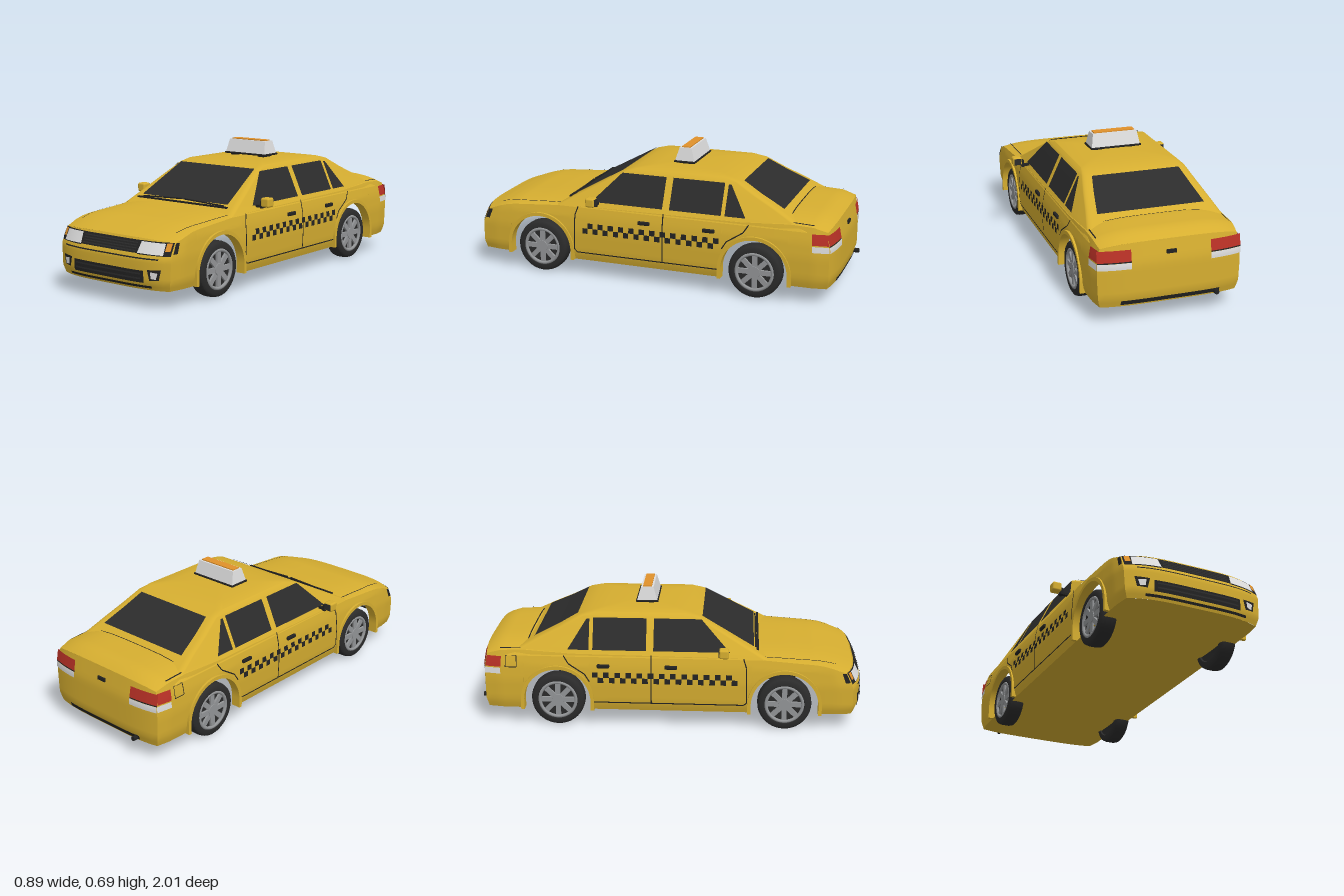
import * as THREE from 'three';
import { toCreasedNormals, mergeGeometries } from 'three/addons/utils/BufferGeometryUtils.js';
import { RoundedBoxGeometry } from 'three/addons/geometries/RoundedBoxGeometry.js';

const V = (x, y, z) => new THREE.Vector3(x, y, z);
const lerp = THREE.MathUtils.lerp, clamp = THREE.MathUtils.clamp;

// Piecewise-linear curve through [position, value] pairs in ascending order
const curve = (pts) => (t) => {
  let i = 0;
  while (i < pts.length - 2 && t > pts[i + 1][0]) i++;
  const [a, b] = [pts[i], pts[i + 1]];
  return lerp(a[1], b[1], clamp((t - a[0]) / (b[0] - a[0]), 0, 1));
};

// Surface through rows of points
function grid(rows, crease = 0.55) {
  const pos = [], idx = [], n = rows[0].length;
  rows.forEach((r) => r.forEach((p) => pos.push(p.x, p.y, p.z)));
  for (let i = 0; i < rows.length - 1; i++) for (let j = 0; j < n - 1; j++) {
    const a = i * n + j, b = a + n;
    idx.push(a, b, b + 1, a, b + 1, a + 1);
  }
  const g = new THREE.BufferGeometry();
  g.setAttribute('position', new THREE.Float32BufferAttribute(pos, 3));
  g.setIndex(idx);
  return toCreasedNormals(g, crease);
}

// Four-cornered plate laid on a surface given by map(u, v)
function patch(q, map, nu = 6, nv = 3) {
  const rows = [];
  for (let i = 0; i <= nu; i++) {
    const row = [], a = i / nu;
    for (let j = 0; j <= nv; j++) {
      const b = j / nv;
      const c = (k) => lerp(lerp(q[0][k], q[1][k], a), lerp(q[3][k], q[2][k], a), b);
      row.push(map(c(0), c(1)));
    }
    rows.push(row);
  }
  return grid(rows, 1);
}
const rect = (a, b, c, d) => [[a, c], [b, c], [b, d], [a, d]];

// Thin seam along a polyline on a surface
function seam(pts, map, w = 0.005) {
  return mergeGeometries(pts.slice(1).map((p, i) => {
    const o = pts[i], dx = p[0] - o[0], dy = p[1] - o[1], l = Math.hypot(dx, dy);
    const nx = -dy / l * w / 2, ny = dx / l * w / 2;
    return patch([[o[0] - nx, o[1] - ny], [p[0] - nx, p[1] - ny], [p[0] + nx, p[1] + ny], [o[0] + nx, o[1] + ny]], map, 8, 1);
  }));
}

// Body curves: half width, section fullness, centre height, shoulder height
const W = curve([[-0.985, 0.362], [-0.9, 0.375], [-0.7, 0.379], [0.75, 0.379], [0.9, 0.376], [1, 0.364]]);
const K = curve([[0.09, 0.95], [0.13, 0.985], [0.25, 1], [0.33, 0.985], [0.4, 0.945], [0.45, 0.9]]);
const T = curve([[-0.985, 0.405], [-0.95, 0.428], [-0.9, 0.44], [-0.75, 0.445], [-0.5, 0.41], [0.4, 0.408], [0.6, 0.4], [0.75, 0.388], [0.9, 0.36], [1, 0.33]]);
const S = curve([[-0.985, 0.385], [-0.9, 0.405], [-0.75, 0.41], [-0.5, 0.395], [0.4, 0.387], [0.75, 0.362], [0.9, 0.342], [1, 0.318]]);
const BOTTOM = 0.09, ARCH = 0.175, AXLE_Y = 0.14, AXLES = [-0.58, 0.6];

// Rounds the nose and tail in plan and leans them back
function shaped(x, y, z) {
  const r = Math.abs(x / 0.37) ** 4;
  if (z > 0) return V(x, y, z - clamp((z - 0.8) / 0.2, 0, 1) * (0.055 * r + Math.max(0, y - 0.24) * 0.5 + Math.max(0, 0.13 - y) * 0.4));
  return V(x, y, z + clamp((-z - 0.8) / 0.185, 0, 1) * (0.03 * r + Math.max(0, y - 0.3) * 0.2 + Math.max(0, 0.14 - y) * 0.3));
}
const topY = (x, z) => S(z) + (T(z) - S(z)) * (1 - Math.min(1, Math.abs(x / (W(z) * K(S(z))))) ** 4);
const frontMap = (d) => (x, y) => shaped(x, y, 1).add(V(0, 0, d));
const rearMap = (d) => (x, y) => shaped(x, y, -0.985).add(V(0, 0, -d));
const sideMap = (s, d) => (z, y) => shaped(W(z) * K(y), y, z).add(V(d, 0, 0)).multiply(V(s, 1, 1));
const topMap = (x, z) => shaped(x, topY(x, z), z).add(V(0, 0.003, 0));

// Right half of a body section, bottom edge to centre line
function halfSection(z, yb) {
  const pts = [], s = S(z), xs = W(z) * K(s);
  for (let i = 0; i < 12; i++) { const y = lerp(yb, s, i / 12); pts.push([W(z) * K(y), y]); }
  for (let i = 0; i <= 10; i++) { const x = xs * Math.cos(i / 10 * Math.PI / 2); pts.push([x, topY(x, z)]); }
  return pts;
}

function bodyShell() {
  const st = [];
  const span = (a, b, n) => { for (let i = 0; i <= n; i++) st.push([lerp(a, b, i / n), BOTTOM]); };
  const arch = (c) => {
    for (let i = 0; i <= 20; i++) {
      const a = Math.PI * (1 - i / 20);
      st.push([c + ARCH * Math.cos(a), AXLE_Y + ARCH * Math.sin(a)]);
    }
  };
  span(-0.985, AXLES[0] - ARCH, 8); arch(AXLES[0]);
  span(AXLES[0] + ARCH, AXLES[1] - ARCH, 8); arch(AXLES[1]);
  span(AXLES[1] + ARCH, 1, 8);
  const skin = grid(st.map(([z, yb]) => {
    const h = halfSection(z, yb);
    return [...h.map(([x, y]) => shaped(-x, y, z)), ...h.slice(0, -1).reverse().map(([x, y]) => shaped(x, y, z))];
  }));
  const cap = (z, s) => grid(Array.from({ length: 25 }, (_, i) =>
    halfSection(z, BOTTOM).map(([x, y]) => shaped(s * x * (i / 12 - 1), y, z))));
  const floor = grid(st.map(([z]) => Array.from({ length: 13 }, (_, i) =>
    shaped(W(z) * K(BOTTOM) * (1 - i / 6), BOTTOM, z))));
  return mergeGeometries([skin, cap(1, 1), cap(-0.985, -1), floor]);
}

// Cabin rings: height, front z, rear z, half width
const RINGS = [[0.38, 0.516, -0.86, 0.364], [0.425, 0.435, -0.765, 0.343], [0.47, 0.354, -0.68, 0.322], [0.52, 0.264, -0.575, 0.299],
  [0.575, 0.165, -0.475, 0.273], [0.592, 0.11, -0.41, 0.255], [0.6, 0.02, -0.32, 0.18], [0.603, -0.15, -0.15, 0]];
const [cabF, cabR, cabX] = [1, 2, 3].map((k) => curve(RINGS.map((r) => [r[0], r[k]])));
function cabinShell() {
  return grid(RINGS.map(([y, zf, zr, X]) => {
    const r = Math.min(0.028, X), ring = [];
    for (let q = 0; q < 4; q++) for (let k = 0; k <= 4; k++) {
      const a = (q + k / 4) * Math.PI / 2;
      ring.push(V((q % 3 ? -1 : 1) * (X - r) + r * Math.cos(a), y, (q < 2 ? zf - r : zr + r) + r * Math.sin(a)));
    }
    return [...ring, ring[0].clone()];
  }), 0.6);
}

export function createModel() {
  const car = new THREE.Group();
  car.name = 'taxi';
  const mat = (name, color, side = THREE.DoubleSide) => new THREE.MeshStandardMaterial({ name, color, side });
  const yellow = mat('yellow paint', 0xd6ae30, THREE.FrontSide), glass = mat('dark glass', 0x2c2c2c);
  const trim = mat('black trim', 0x222222), rubber = mat('tyre rubber', 0x2b2b2b), alloy = mat('alloy', 0x939597);
  const white = mat('lamp white', 0xdddddd), orange = mat('amber', 0xe0912a), red = mat('tail red', 0xb93126);
  const add = (name, geo, m, x = 0, y = 0, z = 0, parent = car) => {
    const mesh = new THREE.Mesh(geo, m);
    mesh.name = name; mesh.position.set(x, y, z);
    parent.add(mesh);
    return mesh;
  };
  const box = (w, h, d) => new THREE.BoxGeometry(w, h, d);

  add('body', bodyShell(), yellow);
  add('cabin', cabinShell(), yellow);

  // Front and rear glass
  add('windshield', patch([[-0.287, 0.425], [0.287, 0.425], [0.25, 0.574], [-0.25, 0.574]], (x, y) => V(x, y + 0.004, cabF(y) + 0.002), 4, 12), glass);
  add('rearWindow', patch([[-0.277, 0.458], [0.277, 0.458], [0.23, 0.573], [-0.23, 0.573]], (x, y) => V(x, y + 0.004, cabR(y) - 0.002), 4, 12), glass);
  add('wiperStrip', box(0.6, 0.008, 0.012), trim, 0, 0.417, 0.457);
  for (const s of [1, -1]) {
    const wiper = add('wiper', box(0.26, 0.006, 0.008), trim, s * 0.14, 0.427, 0.446);
    wiper.rotation.z = s * -0.04;
  }

  // Front fascia
  add('grille', patch([[-0.184, 0.262], [0.184, 0.262], [0.194, 0.32], [-0.194, 0.32]], frontMap(0.004), 10, 4), trim);
  for (let i = 0; i < 4; i++) add('grilleSlat', patch(rect(-0.175, 0.175, 0.27 + i * 0.012, 0.275 + i * 0.012), frontMap(0.007), 10, 1), glass);
  add('bumperSeam', patch(rect(-0.308, 0.308, 0.239, 0.245), frontMap(0.004), 20, 1), trim);
  add('lowerGrille', patch(rect(-0.23, 0.23, 0.126, 0.184), frontMap(0.004), 16, 4), trim);
  for (const y of [0.142, 0.165]) add('lowerGrilleBar', patch(rect(-0.215, 0.215, y, y + 0.008), frontMap(0.007), 16, 1), glass);
  add('chinSlot', patch(rect(-0.268, 0.268, 0.101, 0.113), frontMap(0.004), 16, 2), trim);

  // Rear end
  add('bootLatch', box(0.05, 0.018, 0.012), trim, 0, 0.345, -0.978);
  add('rearStrip', patch(rect(-0.25, 0.25, 0.1, 0.122), rearMap(0.005), 16, 2), trim);
  const pipe = add('exhaust', new THREE.CylinderGeometry(0.012, 0.012, 0.08, 14), trim, -0.23, 0.108, -0.96);
  pipe.rotation.x = Math.PI / 2;
  add('bootSeam', seam([[-0.34, -0.9], [-0.34, -0.742], [0.34, -0.742], [0.34, -0.9]], topMap, 0.006), trim);
  add('fuelFlap', seam([[-0.79, 0.32], [-0.86, 0.32], [-0.86, 0.38], [-0.79, 0.38], [-0.79, 0.32]], sideMap(-1, 0.003), 0.004), trim);

  for (const s of [1, -1]) {
    const f = (q) => q.map(([x, y]) => [s * x, y]);
    // Lamps
    add('headlampHousing', patch(f(rect(0.186, 0.358, 0.258, 0.32)), frontMap(0.003), 12, 4), trim);
    add('headlamp', patch(f([[0.186, 0.264], [0.325, 0.262], [0.322, 0.315], [0.194, 0.317]]), frontMap(0.006), 12, 4), white);
    add('turnLamp', patch(f(rect(0.328, 0.352, 0.28, 0.317)), frontMap(0.006), 4, 3), orange);
    add('sideHousing', patch(rect(0.965, 1, 0.268, 0.318), sideMap(s, 0.003)), trim);
    add('fogHousing', patch(f([[0.262, 0.14], [0.31, 0.144], [0.321, 0.194], [0.25, 0.19]]), frontMap(0.004)), trim);
    add('fogLamp', patch(f([[0.272, 0.15], [0.298, 0.148], [0.306, 0.178], [0.268, 0.182]]), frontMap(0.007)), white);
    for (const [name, m, a, b] of [['tailLamp', red, 0.32, 0.375], ['reverseLamp', white, 0.283, 0.314]]) {
      add(name, patch(f(rect(0.2, 0.362, a, b)), rearMap(0.005), 10, 3), m);
      add(name + 'Side', patch(rect(-0.985, -0.89, a, b), sideMap(s, 0.004), 6, 3), m);
    }
    add('tailLampDivider', patch(f(rect(0.2, 0.362, 0.314, 0.32)), rearMap(0.004), 10, 1), trim);

    // Side windows
    const pane = (z, y) => V(s * (cabX(y) + 0.003), y, z);
    add('frontSideWindow', patch([[0.315, 0.414], [-0.08, 0.414], [-0.08, 0.568], [0.165, 0.568]], pane, 4, 6), glass);
    add('rearSideWindow', patch(rect(-0.118, -0.395, 0.414, 0.568), pane, 4, 6), glass);
    add('quarterWindow', patch([[-0.415, 0.414], [-0.525, 0.414], [-0.43, 0.562], [-0.415, 0.562]], pane, 4, 6), glass);

    // Door seams and handles
    const skin = sideMap(s, 0.002);
    add('doorSeam', seam([[0.385, 0.385], [0.4, 0.34], [0.405, 0.15], [0.39, 0.135], [-0.39, 0.135]], skin, 0.006), trim);
    add('pillarSeam', seam([[-0.09, 0.135], [-0.09, 0.395]], skin, 0.006), trim);
    add('rearDoorSeam', seam([[-0.41, 0.25], [-0.435, 0.29], [-0.52, 0.345], [-0.545, 0.385]], skin, 0.006), trim);
    add('hoodSeam', seam([[s * 0.335, 0.45], [s * 0.33, 0.7], [s * 0.315, 0.9]], topMap, 0.004), trim);
    for (const z of [0.012, -0.338]) add('doorHandle', new RoundedBoxGeometry(0.016, 0.02, 0.065, 2, 0.006), trim, s * 0.376, 0.335, z);

    // Checker band
    const squares = [], n = 26, w = 0.75 / n;
    for (let c = 0; c < n; c++) {
      const z = 0.355 - w * c, y = 0.245 + (c % 2) * 0.0285;
      squares.push(patch(rect(z - w, z, y, y + 0.0285), sideMap(s, 0.004), 1, 2));
    }
    add('checkerBand', mergeGeometries(squares), trim);

    // Door mirrors
    add('mirrorMount', box(0.012, 0.036, 0.03), trim, s * 0.388, 0.42, 0.28);
    add('mirrorArm', box(0.06, 0.012, 0.018), trim, s * 0.37, 0.41, 0.28);
    add('mirrorHousing', new RoundedBoxGeometry(0.05, 0.048, 0.05, 3, 0.01), yellow, s * 0.42, 0.435, 0.285);
    add('mirrorLens', box(0.038, 0.034, 0.004), glass, s * 0.42, 0.435, 0.26);
  }

  // Wheels and arch lips
  const tyre = new THREE.LatheGeometry([[0, -0.03], [0.1, -0.034], [0.104, -0.042], [0.125, -0.042], [0.136, -0.034], [0.14, -0.018], [0.14, 0.018],
    [0.136, 0.034], [0.125, 0.042], [0.104, 0.042], [0.1, 0.022], [0, 0.022]].map((p) => new THREE.Vector2(...p)), 40);
  const lip = new THREE.Shape();
  const ro = 0.192, ri = 0.174, d = BOTTOM - AXLE_Y;
  lip.moveTo(-ro, d).lineTo(-ro, 0).absarc(0, 0, ro, Math.PI, 0, true).lineTo(ro, d);
  lip.lineTo(ri, d).lineTo(ri, 0).absarc(0, 0, ri, 0, Math.PI, false).lineTo(-ri, d);
  const lipGeo = toCreasedNormals(new THREE.ExtrudeGeometry(lip, { depth: 0.05, bevelEnabled: false, curveSegments: 24 }), 0.5);
  for (const s of [1, -1]) for (const z of AXLES) {
    add('archLip', lipGeo, yellow, s > 0 ? 0.336 : -0.386, AXLE_Y, z).rotation.y = Math.PI / 2;
    const wheel = new THREE.Group();
    wheel.name = z > 0 ? 'frontWheel' : 'rearWheel';
    wheel.position.set(s * 0.328, 0.14, z);
    wheel.rotation.z = -s * Math.PI / 2;
    car.add(wheel);
    add('tyre', toCreasedNormals(tyre, 0.7), rubber, 0, 0, 0, wheel);
    const rim = add('rim', new THREE.TorusGeometry(0.095, 0.009, 8, 40), alloy, 0, 0.034, 0, wheel);
    rim.rotation.x = Math.PI / 2;
    add('hub', new THREE.CylinderGeometry(0.03, 0.034, 0.018, 20), alloy, 0, 0.031, 0, wheel);
    for (let i = 0; i < 8; i++) {
      const a = i * Math.PI / 4;
      const spoke = add('spoke', box(0.07, 0.012, 0.026), alloy, Math.cos(a) * 0.06, 0.031, -Math.sin(a) * 0.06, wheel);
      spoke.rotation.y = a;
    }
  }

  // Roof sign
  const sign = new THREE.Group();
  sign.name = 'roofSign';
  sign.position.set(0, 0, -0.127);
  car.add(sign);
  for (const s of [1, -1]) add('signFoot', box(0.04, 0.018, 0.07), trim, s * 0.092, 0.604, 0, sign);
  add('signBase', new RoundedBoxGeometry(0.278, 0.01, 0.118, 2, 0.004), trim, 0, 0.615, 0, sign);
  const lamp = box(0.264, 0.068, 0.106), p = lamp.attributes.position;
  for (let i = 0; i < p.count; i++) if (p.getY(i) > 0) p.setXYZ(i, p.getX(i) * 0.91, p.getY(i), p.getZ(i) * 0.62);
  lamp.computeVertexNormals();
  add('signLamp', lamp, white, 0, 0.654, 0, sign);
  add('signTop', box(0.222, 0.006, 0.046), orange, 0, 0.69, 0, sign);
  return car;
}
